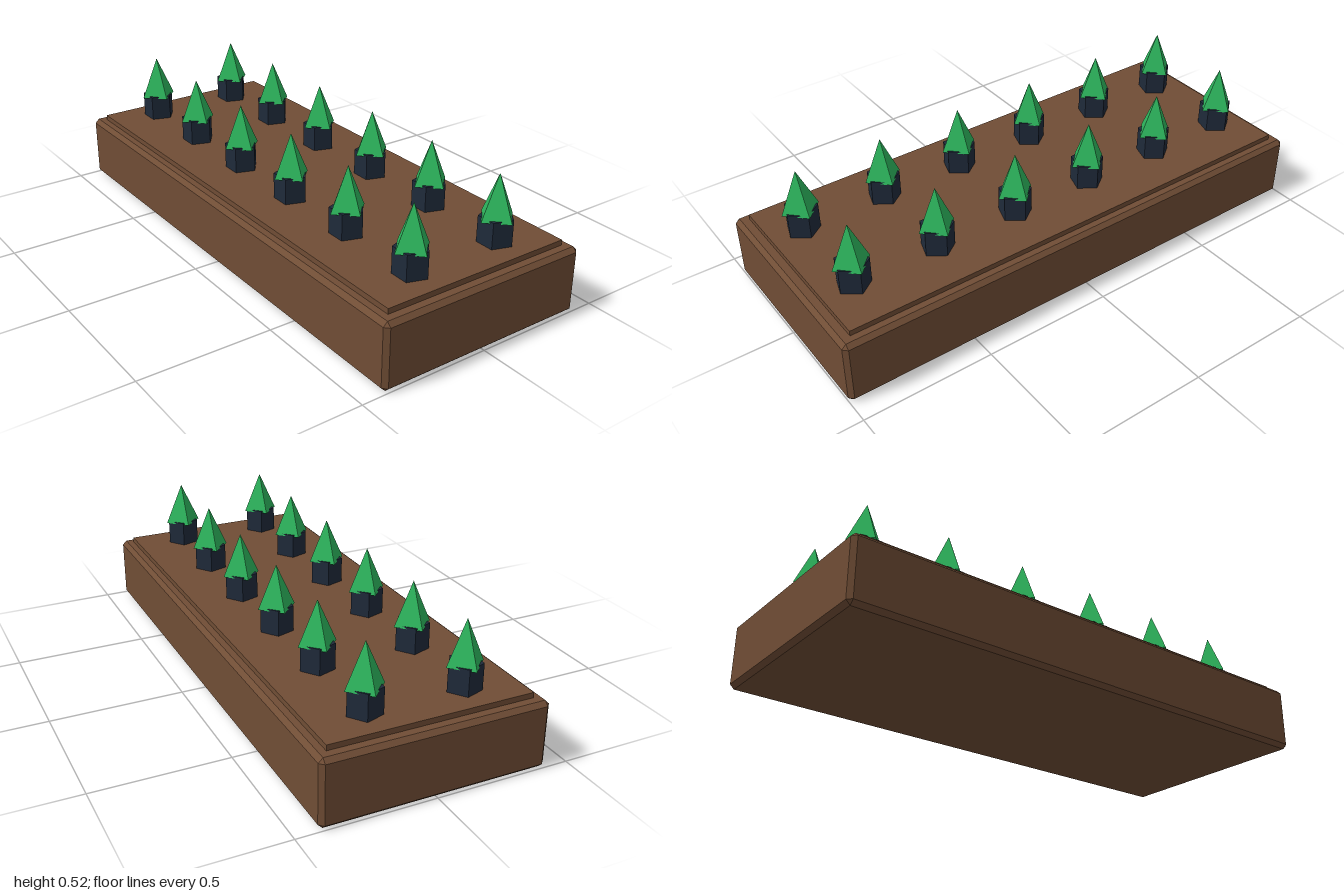
import * as THREE from 'three';
import { ConvexGeometry } from 'three/addons/geometries/ConvexGeometry.js';

const material = (name, color) => {
  const m = new THREE.MeshStandardMaterial({ color });
  m.name = name;
  return m;
};

// Box with every edge cut off at 45 degrees, centred on the origin
function chamferedBox(w, h, d, c) {
  const points = [];
  for (const sx of [-1, 1]) for (const sy of [-1, 1]) for (const sz of [-1, 1]) {
    const x = w / 2, y = h / 2, z = d / 2;
    points.push(
      new THREE.Vector3(sx * x, sy * (y - c), sz * (z - c)),
      new THREE.Vector3(sx * (x - c), sy * y, sz * (z - c)),
      new THREE.Vector3(sx * (x - c), sy * (y - c), sz * z)
    );
  }
  return new ConvexGeometry(points);
}

// Flat facets for low-poly parts
function faceted(geometry) {
  const flat = geometry.toNonIndexed();
  flat.computeVertexNormals();
  return flat;
}

export function createModel() {
  const model = new THREE.Group();
  model.name = 'planterBed';
  const brown = material('brown', 0x704d35);
  const navy = material('darkNavy', 0x1f2a3a);
  const green = material('green', 0x2db55d);

  const add = (parent, name, geometry, mat, x, y, z) => {
    const mesh = new THREE.Mesh(geometry, mat);
    mesh.name = name;
    mesh.position.set(x, y, z);
    parent.add(mesh);
    return mesh;
  };

  // Chamfered base block with a thin raised panel
  add(model, 'base', chamferedBox(2, 0.25, 0.832, 0.016), brown, 0, 0.125, 0);
  add(model, 'topPanel', new THREE.BoxGeometry(1.91, 0.04, 0.75), brown, 0, 0.25, 0);

  // Two rows of six: five-sided pot with a four-sided pointed cone
  const potGeometry = faceted(new THREE.CylinderGeometry(0.063, 0.063, 0.108, 5).rotateY(Math.PI));
  const coneGeometry = faceted(new THREE.ConeGeometry(0.072, 0.162, 4));
  for (const z of [-0.183, 0.183]) {
    for (let i = 0; i < 6; i++) {
      const plant = new THREE.Group();
      plant.name = 'plant';
      plant.position.set((i - 2.5) / 3, 0, z);
      add(plant, 'pot', potGeometry, navy, 0, 0.314, 0);
      add(plant, 'foliage', coneGeometry, green, 0, 0.441, 0);
      model.add(plant);
    }
  }
  return model;
}
